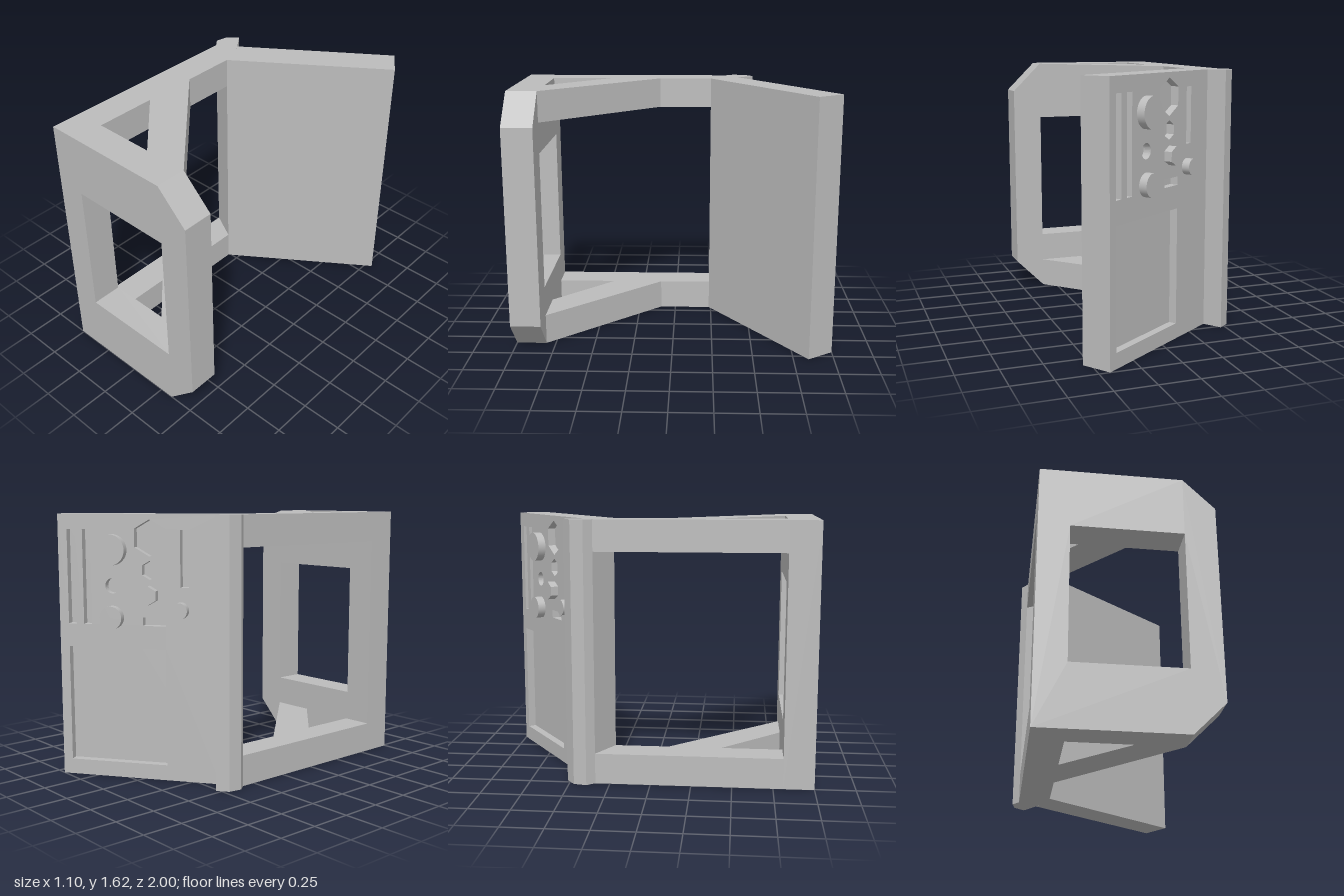
import * as THREE from 'three';

const H = 1.62;      // overall height
const T = 0.19;      // frame thickness
const DEPTH = 0.05;  // depth of recesses and height of knobs
const ANGLE = 0.61;  // swing of the rear panel

const v = (p) => new THREE.Vector2(p[0], p[1]);

// Extrude a plan outline of [x, z] points upward
function planPrism(points, height) {
  const shape = new THREE.Shape(points.map(([x, z]) => new THREE.Vector2(x, -z)));
  const g = new THREE.ExtrudeGeometry(shape, { depth: height, bevelEnabled: false });
  return g.rotateX(-Math.PI / 2);
}

function rectPath(x0, y0, x1, y1) {
  return new THREE.Path([[x0, y0], [x0, y1], [x1, y1], [x1, y0]].map(v));
}

// Regular polygon with a corner at the top
function ringPath(cx, cy, r, sides) {
  const pts = [];
  for (let i = 0; i < sides; i++) {
    const a = Math.PI / 2 - (i / sides) * Math.PI * 2;
    pts.push(new THREE.Vector2(cx + r * Math.cos(a), cy + r * Math.sin(a)));
  }
  return new THREE.Path(pts);
}

export function createModel() {
  const model = new THREE.Group();
  model.name = 'controlFrame';
  const grey = new THREE.MeshStandardMaterial({ color: 0xbcbcbc });
  grey.name = 'grey';

  function add(parent, name, geometry, y = 0) {
    const mesh = new THREE.Mesh(geometry, grey);
    mesh.name = name;
    mesh.position.y = y;
    parent.add(mesh);
    return mesh;
  }

  // Front plate with chamfered corners and a window
  const front = new THREE.Shape(
    [[-0.51, 0], [0.34, 0], [0.53, T], [0.53, H - T], [0.34, H], [-0.51, H]].map(v));
  front.holes.push(rectPath(-0.325, 0.38, 0.34, 1.24));
  const frontGeo = new THREE.ExtrudeGeometry(front, { depth: T, bevelEnabled: false });
  add(model, 'frontPlate', frontGeo.translate(0, 0, 1 - T));

  // Side rails with diagonal braces, bottom and top
  const rail = [[-0.51, 0.81], [-0.32, 0.81], [-0.32, 0.43], [0.06, 0.81],
    [0.34, 0.81], [-0.32, 0.1], [-0.32, -0.237], [-0.51, -0.34]];
  add(model, 'bottomRail', planPrism(rail, T));
  add(model, 'topRail', planPrism(rail, T), H - T);

  // Rear panel body with the raised corner rib
  const inX = DEPTH * Math.sin(ANGLE), inZ = DEPTH * Math.cos(ANGLE);
  const body = [[0.435 + inX, -1 + inZ], [0.545, -0.845], [-0.32, -0.237], [-0.51, -0.34],
    [-0.55, -0.39], [-0.535, -0.47], [-0.47, -0.52], [-0.396, -0.42],
    [-0.396 + inX, -0.42 + inZ]];
  add(model, 'rearPanelBody', planPrism(body, H));

  // Panel face group: x runs along the panel, z points outward
  const face = new THREE.Group();
  face.name = 'rearPanelFace';
  face.position.set(0.435, 0, -1);
  face.rotation.y = Math.PI + ANGLE;
  model.add(face);

  // Face plate with display, slot, hexagon and round recesses
  const plate = new THREE.Shape([[0, 0], [1.013, 0], [1.013, H], [0, H]].map(v));
  plate.holes.push(
    rectPath(0.058, 0.095, 0.679, 0.811),
    rectPath(0.058, 0.953, 0.109, 1.528),
    rectPath(0.157, 0.953, 0.208, 1.528),
    rectPath(0.772, 1.188, 0.824, 1.528),
    rectPath(0.535, 0.953, 0.679, 1.003),
    ringPath(0.583, 1.478, 0.11, 6),
    ringPath(0.583, 1.287, 0.057, 6),
    ringPath(0.346, 1.19, 0.046, 32));
  const plateGeo = new THREE.ExtrudeGeometry(plate, { depth: DEPTH, bevelEnabled: false });
  add(face, 'facePlate', plateGeo.translate(0, 0, -DEPTH));

  // Raised knobs
  const knobs = [
    ['largeKnob', 0.346, 1.407, 0.093, 40],
    ['mediumKnob', 0.346, 1.0, 0.07, 40],
    ['smallKnob', 0.776, 1.053, 0.049, 32],
    ['hexKnob', 0.583, 1.14, 0.057, 6],
  ];
  for (const [name, x, y, r, sides] of knobs) {
    let g = new THREE.CylinderGeometry(r, r, DEPTH + 0.02, sides);
    if (sides === 6) {
      g = g.toNonIndexed();
      g.computeVertexNormals();
    }
    g.rotateX(Math.PI / 2).translate(x, 0, (DEPTH - 0.02) / 2);
    add(face, name, g, y);
  }
  return model;
}
